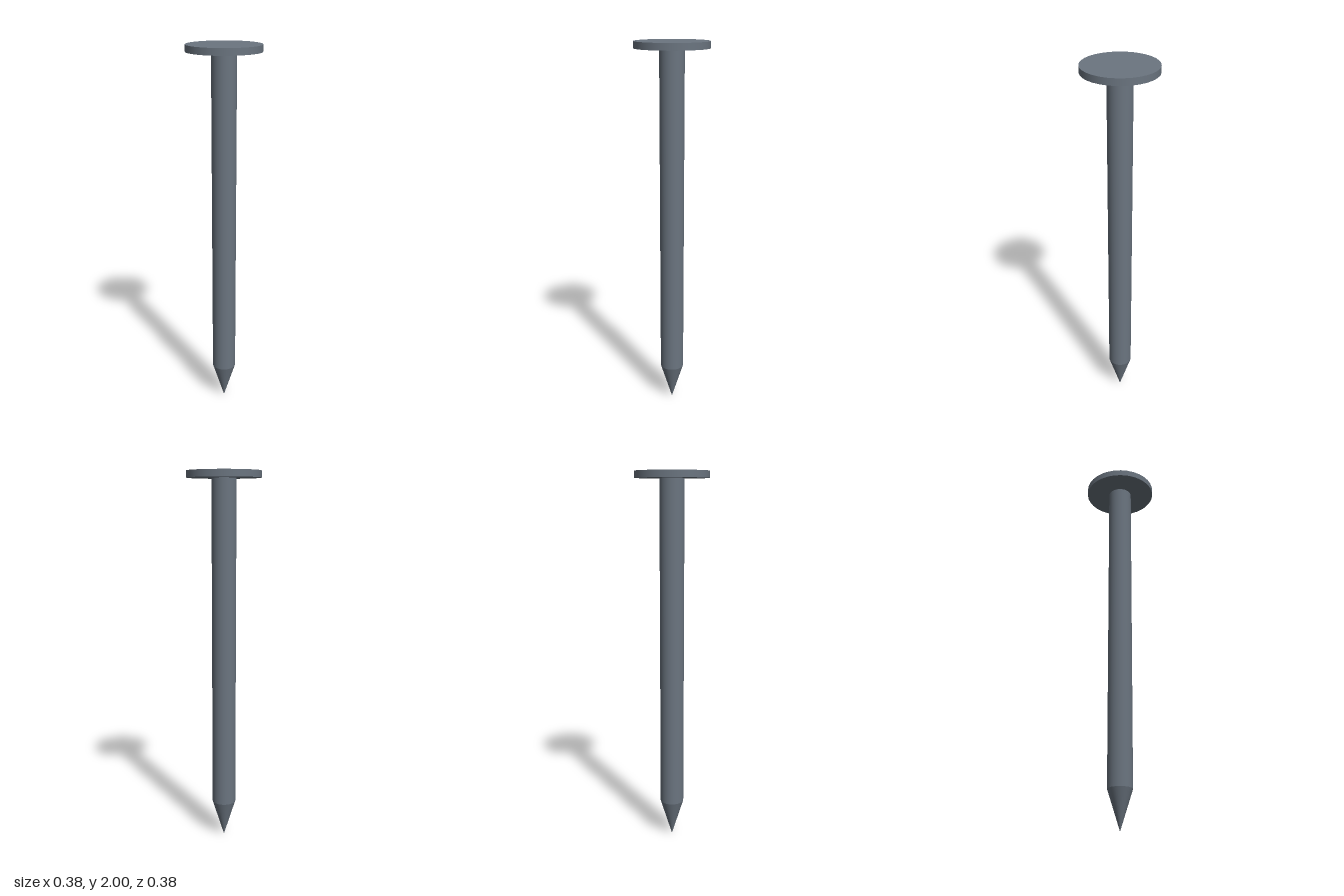
import * as THREE from 'three';

const SIDES = 32;
const SHAFT_RADIUS = 0.064;
const HEAD_RADIUS = 0.192;
const TIP_TOP = 0.205;
const HEAD_BOTTOM = 1.965;

export function createModel() {
  const nail = new THREE.Group();
  nail.name = 'nail';
  const steel = new THREE.MeshStandardMaterial({ color: 0x6b7580 });

  // Adds a round part between two heights
  const addRound = (name, topRadius, bottomRadius, bottom, top) => {
    const geometry = new THREE.CylinderGeometry(topRadius, bottomRadius, top - bottom, SIDES);
    const mesh = new THREE.Mesh(geometry, steel);
    mesh.name = name;
    mesh.position.y = (top + bottom) / 2;
    nail.add(mesh);
  };

  // Flat disc head
  addRound('head', HEAD_RADIUS, HEAD_RADIUS, HEAD_BOTTOM, 2);
  // Straight shaft
  addRound('shaft', SHAFT_RADIUS, SHAFT_RADIUS, TIP_TOP, HEAD_BOTTOM);
  // Conical point
  addRound('point', SHAFT_RADIUS, 0, 0, TIP_TOP);

  return nail;
}
